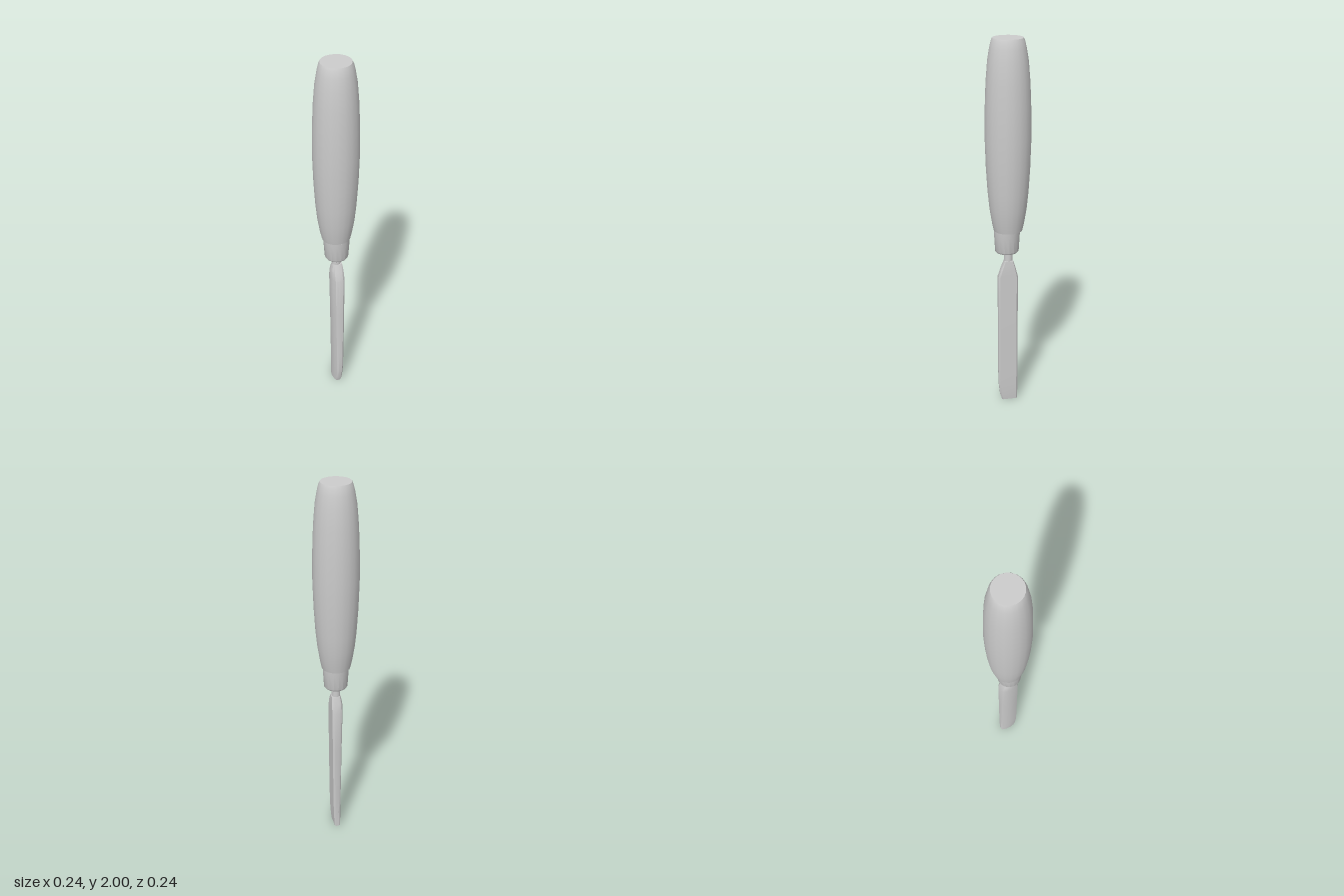
import * as THREE from 'three';
import { toCreasedNormals } from 'three/addons/utils/BufferGeometryUtils.js';

const material = new THREE.MeshStandardMaterial({ color: 0xcccccc });

function part(name, geometry, crease = 0.6) {
  const mesh = new THREE.Mesh(toCreasedNormals(geometry, crease), material);
  mesh.name = name;
  return mesh;
}

function turned(name, profile, sides) {
  return part(name, new THREE.LatheGeometry(profile.map(([r, y]) => new THREE.Vector2(r, y)), sides));
}

// Joins matching rings of points, listed upwards, and closes both ends
function loft(rings) {
  const n = rings[0].length, last = (rings.length - 1) * n, index = [];
  for (let r = 0; r < rings.length - 1; r++) {
    for (let i = 0; i < n; i++) {
      const a = r * n + i, b = r * n + (i + 1) % n;
      index.push(a, b, b + n, a, b + n, a + n);
    }
  }
  for (let i = 1; i < n - 1; i++) index.push(0, i + 1, i, last, last + i, last + i + 1);
  const geometry = new THREE.BufferGeometry();
  geometry.setAttribute('position', new THREE.Float32BufferAttribute(rings.flat(2), 3));
  geometry.setIndex(index);
  return geometry;
}

// Flat face on +x with narrow bevels, rounded back on -x; values run from -1 to 1
const section = [
  [0.65, 1], [1, 0.84], [1, -0.84], [0.65, -1], [-0.2, -0.98],
  [-0.65, -0.86], [-0.92, -0.5], [-1, 0], [-0.92, 0.5], [-0.65, 0.86], [-0.2, 0.98],
];

// Blade stations: y, x min, x max, z min, z max
const stations = [
  [0, -0.019, 0.017, -0.05, 0.036],
  [0.03, -0.02, 0.02, -0.05, 0.046],
  [0.1, -0.021, 0.023, -0.05, 0.054],
  [0.2, -0.023, 0.025, -0.05, 0.056],
  [0.5, -0.028, 0.028, -0.05, 0.056],
  [0.74, -0.033, 0.03, -0.05, 0.056],
  [0.79, -0.032, 0.03, -0.037, 0.038],
  [0.83, -0.023, 0.027, -0.025, 0.022],
];

export function createModel() {
  const model = new THREE.Group();

  // Barrel-shaped grip
  model.add(turned('handle', [
    [0, 1], [0.075, 1], [0.084, 1.04], [0.097, 1.12], [0.106, 1.21], [0.114, 1.34],
    [0.119, 1.5], [0.117, 1.65], [0.112, 1.78], [0.103, 1.89], [0.093, 1.95],
    [0.084, 1.988], [0.078, 2], [0, 2],
  ], 20));

  // Tapered collar below the grip
  const ferrule = turned('ferrule', [
    [0, 0.88], [0.058, 0.88], [0.063, 0.888], [0.07, 1.002], [0, 1.002],
  ], 16);
  ferrule.position.z = 0.006;
  model.add(ferrule);

  // Rod joining collar and blade
  const tang = part('tang', new THREE.CylinderGeometry(0.023, 0.024, 0.14, 12).translate(0.001, 0.83, -0.001));
  model.add(tang);

  // Tapering blade with shoulders and a rounded front corner
  const rings = stations.map(([y, x0, x1, z0, z1]) => section.map(([u, v]) => [
    (x0 + x1) / 2 + u * (x1 - x0) / 2, y, (z0 + z1) / 2 + v * (z1 - z0) / 2,
  ]));
  model.add(part('blade', loft(rings), 0.5));

  return model;
}
